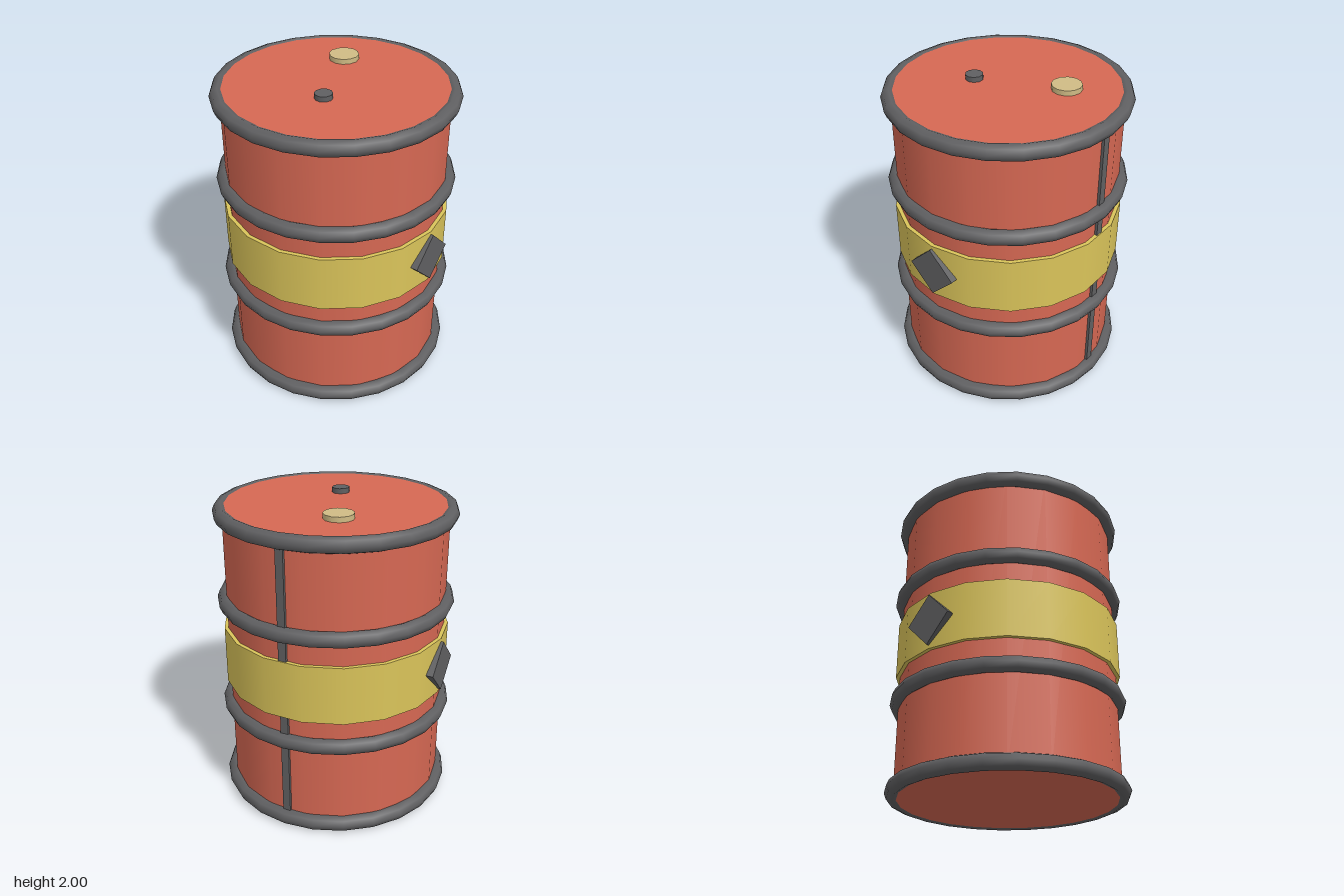
import * as THREE from 'three';

const paint = (name, color) => {
  const material = new THREE.MeshStandardMaterial({ color });
  material.name = name;
  return material;
};

export function createModel() {
  const red = paint('red paint', 0xd66853);
  const grey = paint('dark grey metal', 0x606062);
  const yellow = paint('yellow band paint', 0xdac45a);
  const tan = paint('pale brass', 0xd0bc85);

  const barrel = new THREE.Group();
  barrel.name = 'barrel';

  const add = (name, geometry, material, x, y, z) => {
    const mesh = new THREE.Mesh(geometry, material);
    mesh.name = name;
    mesh.position.set(x, y, z);
    barrel.add(mesh);
    return mesh;
  };

  // An upright cylinder placed by its bottom and top heights
  const drum = (name, radius, bottom, top, sides, material, x = 0, z = 0) =>
    add(name, new THREE.CylinderGeometry(radius, radius, top - bottom, sides),
      material, x, (bottom + top) / 2, z);

  // Body with flat lid and base, and the raised band around its middle
  drum('body', 0.71, 0.01, 1.967, 18, red);
  drum('band', 0.735, 0.8, 1.18, 18, yellow);

  // Rims at both ends and two rolling hoops between them
  const ring = new THREE.TorusGeometry(0.715, 0.051, 8, 24).rotateX(Math.PI / 2);
  const rings = { bottomRim: 0.051, lowerHoop: 0.63, upperHoop: 1.355, topRim: 1.925 };
  for (const [name, y] of Object.entries(rings)) add(name, ring, grey, 0, y, 0);

  // Vertical weld seam on the left side
  add('seam', new THREE.BoxGeometry(0.03, 1.82, 0.052), grey, 0.702, 0.99, 0);

  // Diamond plates on the front and back of the band
  const diamond = new THREE.BoxGeometry(0.24, 0.24, 0.045).rotateZ(Math.PI / 4);
  add('frontDiamond', diamond, grey, 0, 0.99, 0.73);
  add('backDiamond', diamond, grey, 0, 0.99, -0.73);

  // Large and small plugs on the lid
  drum('largePlug', 0.095, 1.94, 2, 12, tan, 0.31, -0.172);
  drum('smallPlug', 0.056, 1.94, 2, 10, grey, -0.208, 0.068);

  return barrel;
}
